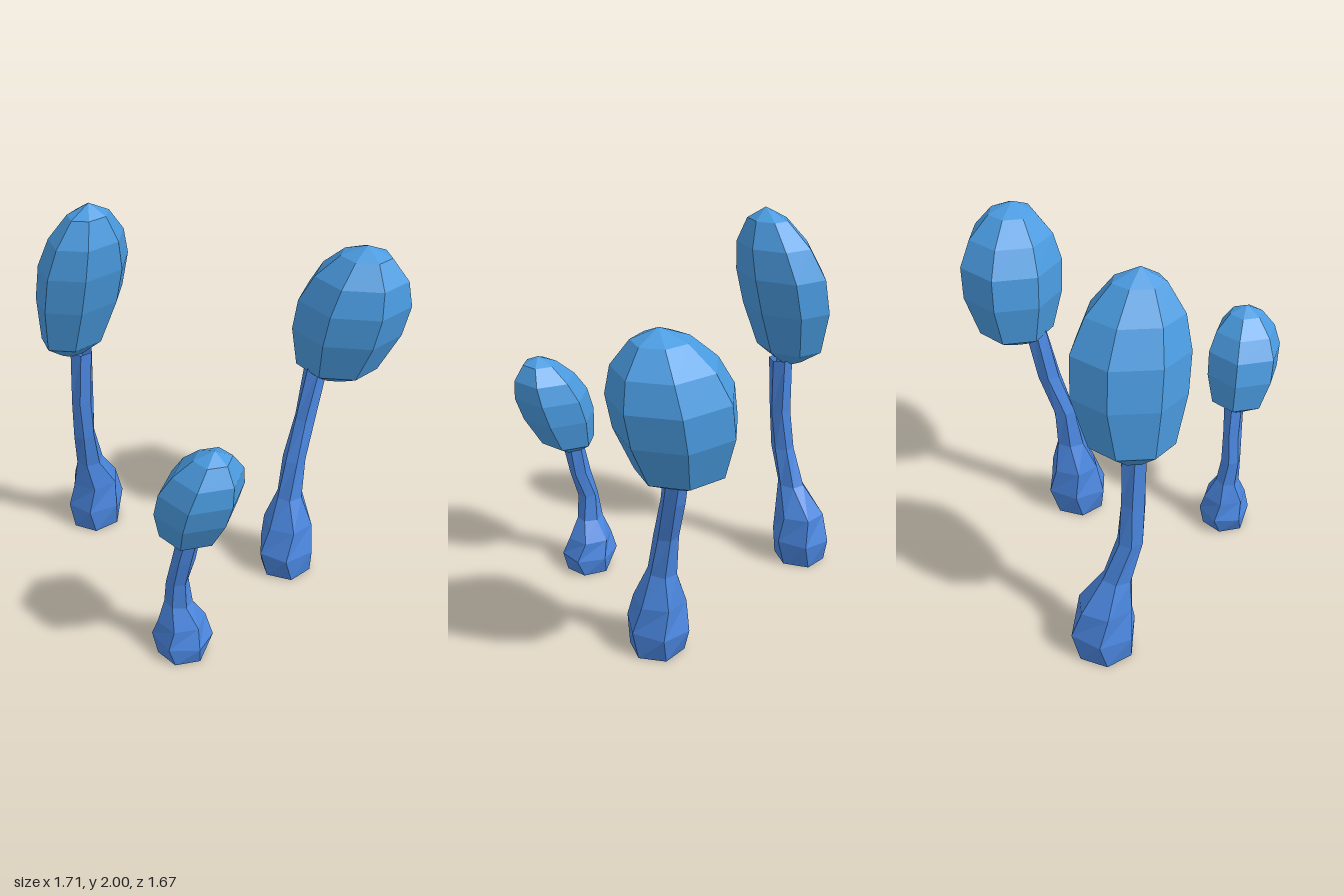
import * as THREE from 'three';

// Shared profiles: [height, radius] of a stalk, [fraction of height, fraction of radius] of a cap
const stalkProfile = [[0, 0.134], [0.14, 0.153], [0.29, 0.128], [0.45, 0.07], [0.66, 0.059], [0.88, 0.056], [1.18, 0.059]];
const capProfile = [[0, 0.28], [0.1, 0.74], [0.38, 0.98], [0.6, 1], [0.78, 0.82], [0.93, 0.45]];

// Spines are [x, z] points from bottom to top
const mushrooms = [
  {
    name: 'tallMushroom', turn: -0.12, capSides: 7, height: 1, girth: 1,
    stalkSpine: [[-0.7, -0.075], [-0.69, -0.07], [-0.655, 0.048], [-0.63, 0.062]],
    capSpine: [[-0.685, 0.058], [-0.61, 0.042], [-0.515, 0.085]],
    capY: [1.16, 2], capRadius: [0.2, 0.255],
  },
  {
    name: 'backMushroom', turn: -0.2, capSides: 7, height: 1, girth: 1,
    stalkSpine: [[0.44, -0.258], [0.432, -0.275], [0.425, -0.325], [0.455, -0.47]],
    capSpine: [[0.51, -0.56], [0.565, -0.575], [0.63, -0.57]],
    capY: [1.065, 1.8], capRadius: [0.278, 0.257],
  },
  {
    name: 'smallMushroom', turn: 0.27, capSides: 6, height: 0.67, girth: 0.9,
    stalkSpine: [[0.295, 0.583], [0.285, 0.577], [0.275, 0.597], [0.355, 0.602]],
    capSpine: [[0.355, 0.62], [0.42, 0.645], [0.5, 0.65]],
    capY: [0.73, 1.28], capRadius: [0.185, 0.192],
  },
];

const spline = (points) => new THREE.SplineCurve(points.map(([x, z]) => new THREE.Vector2(x, z)));

// Polygon ring around a spine point, reaching rx and rz to either side
function ring(centre, y, rx, rz, sides, turn) {
  const angles = Array.from({ length: sides }, (_, i) => turn + (i / sides) * Math.PI * 2);
  const spread = (wave, mid, r) => {
    const v = angles.map(wave);
    const min = Math.min(...v), max = Math.max(...v);
    return v.map((t) => mid + r * ((2 * (t - min)) / (max - min) - 1));
  };
  const xs = spread(Math.cos, centre.x, rx), zs = spread(Math.sin, centre.y, rz);
  return xs.map((x, i) => [x, y, zs[i]]);
}

// Faceted skin through the rings, open at the ends unless given closing points
function loft(rings, bottom, top) {
  const sides = rings[0].length, last = rings[rings.length - 1];
  const pos = [];
  const tri = (...pts) => pts.forEach((p) => pos.push(...p));
  for (let i = 0; i < sides; i++) {
    const j = (i + 1) % sides;
    if (bottom) tri(bottom, rings[0][i], rings[0][j]);
    for (let k = 0; k + 1 < rings.length; k++) {
      const lo = rings[k], hi = rings[k + 1];
      tri(lo[i], hi[i], lo[j]);
      tri(lo[j], hi[i], hi[j]);
    }
    if (top) tri(last[j], last[i], top);
  }
  const g = new THREE.BufferGeometry();
  g.setAttribute('position', new THREE.Float32BufferAttribute(pos, 3));
  g.computeVertexNormals();
  return g;
}

// Hollow bulbous foot narrowing to a bent stem
function stalkGeometry({ stalkSpine, height, girth, turn }) {
  const spine = spline(stalkSpine), end = stalkProfile.length - 1;
  return loft(stalkProfile.map(([h, r], i) =>
    ring(spine.getPoint(i / end), h * height, r * girth, r * girth, 6, turn + (i % 2) * 0.2)));
}

// Egg-shaped leaning cap with a pointed tip
function capGeometry({ capSpine, capY: [y0, y1], capRadius: [rx, rz], capSides, turn }) {
  const spine = spline(capSpine);
  const rings = capProfile.map(([t, r]) =>
    ring(spine.getPoint(t), y0 + t * (y1 - y0), r * rx, r * rz, capSides, turn));
  const a = spine.getPoint(0), b = spine.getPoint(1);
  return loft(rings, [a.x, y0, a.y], [b.x, y1, b.y]);
}

export function createModel() {
  const capBlue = new THREE.MeshStandardMaterial({ color: 0x4a9be0, flatShading: true });
  capBlue.name = 'capBlue';
  const stalkBlue = new THREE.MeshStandardMaterial({ color: 0x4a86de, flatShading: true, side: THREE.DoubleSide });
  stalkBlue.name = 'stalkBlue';

  const model = new THREE.Group();
  model.name = 'mushroomCluster';
  for (const m of mushrooms) {
    const group = new THREE.Group();
    group.name = m.name;
    const stalk = new THREE.Mesh(stalkGeometry(m), stalkBlue);
    stalk.name = 'stalk';
    const cap = new THREE.Mesh(capGeometry(m), capBlue);
    cap.name = 'cap';
    group.add(stalk, cap);
    model.add(group);
  }
  return model;
}
